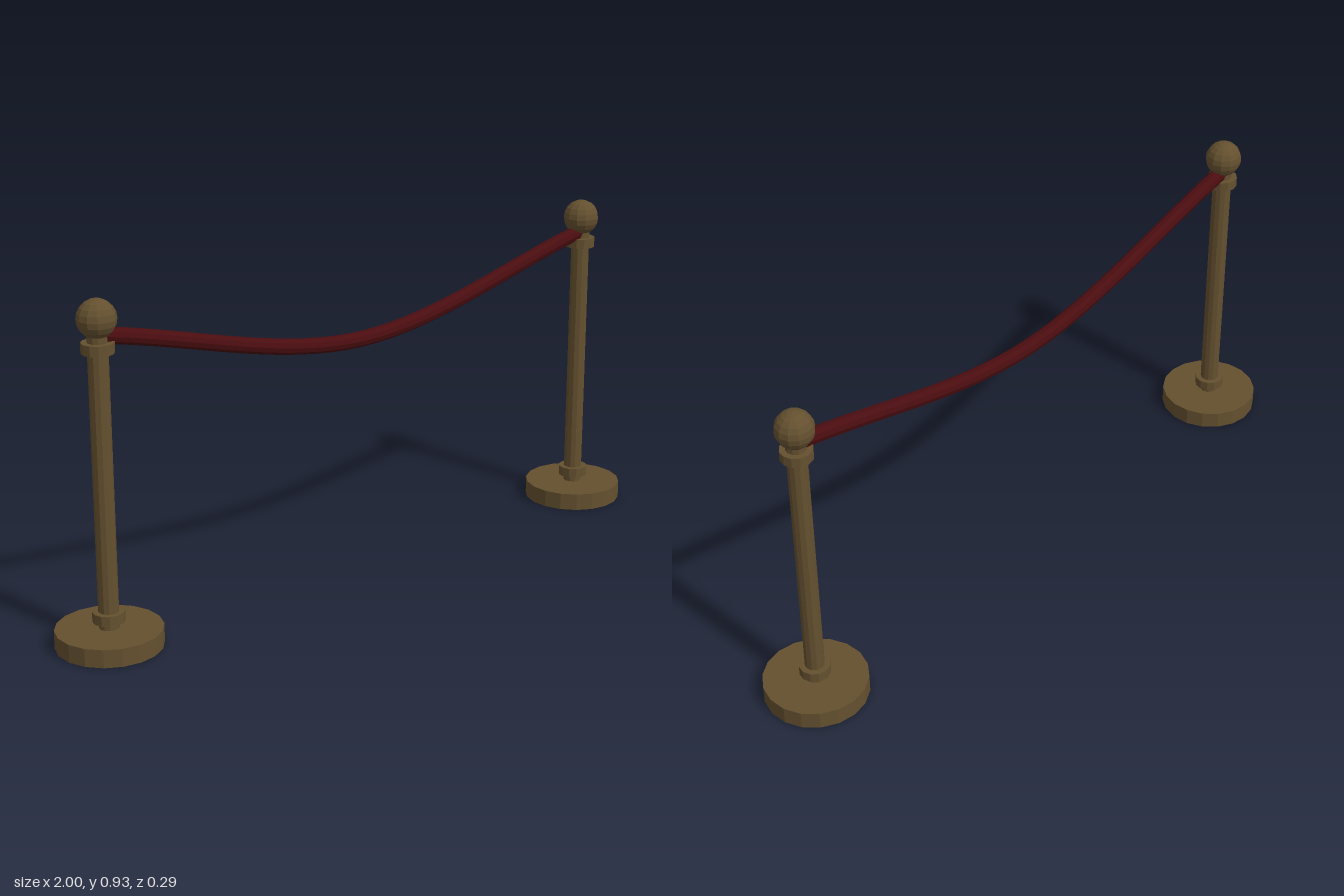
import * as THREE from 'three';

export function createModel() {
  const model = new THREE.Group();
  model.name = 'ropeBarrier';

  const brass = new THREE.MeshStandardMaterial({ color: 0x64502f, flatShading: true });
  brass.name = 'aged brass';
  const velvet = new THREE.MeshStandardMaterial({ color: 0x4a0d10, flatShading: true });
  velvet.name = 'dark red velvet';

  const add = (parent, name, geometry, material, y = 0) => {
    const mesh = new THREE.Mesh(geometry, material);
    mesh.name = name;
    mesh.position.y = y;
    parent.add(mesh);
    return mesh;
  };
  // Upright disc or rod spanning y0 to y1
  const rod = (parent, name, radius, y0, y1, sides) =>
    add(parent, name, new THREE.CylinderGeometry(radius, radius, y1 - y0, sides), brass, (y0 + y1) / 2);

  // Two matching posts
  for (const [name, x] of [['leftPost', 0.859], ['rightPost', -0.859]]) {
    const post = new THREE.Group();
    post.name = name;
    post.position.x = x;
    rod(post, 'base', 0.143, 0, 0.05, 18);
    rod(post, 'pole', 0.027, 0.05, 0.845, 12);
    rod(post, 'lowerCollar', 0.043, 0.068, 0.096, 12);
    rod(post, 'upperCollar', 0.043, 0.793, 0.821, 12);
    add(post, 'ballFinial', new THREE.SphereGeometry(0.052, 12, 10), brass, 0.881);
    model.add(post);
  }

  // Rope sagging between the tops of the posts
  const sag = new THREE.CatmullRomCurve3([
    new THREE.Vector3(-0.845, 0.836, 0),
    new THREE.Vector3(0, 0.666, 0),
    new THREE.Vector3(0.845, 0.836, 0),
  ]);
  add(model, 'rope', new THREE.TubeGeometry(sag, 32, 0.022, 10, false), velvet);

  // Rope end caps, tucked against the posts
  for (const t of [0, 1]) {
    const cap = add(model, 'ropeEnd', new THREE.CircleGeometry(0.022, 10), velvet);
    const end = sag.getPoint(t);
    const outward = sag.getTangent(t).multiplyScalar(t ? 1 : -1);
    cap.position.copy(end);
    cap.lookAt(end.clone().add(outward));
  }

  return model;
}
